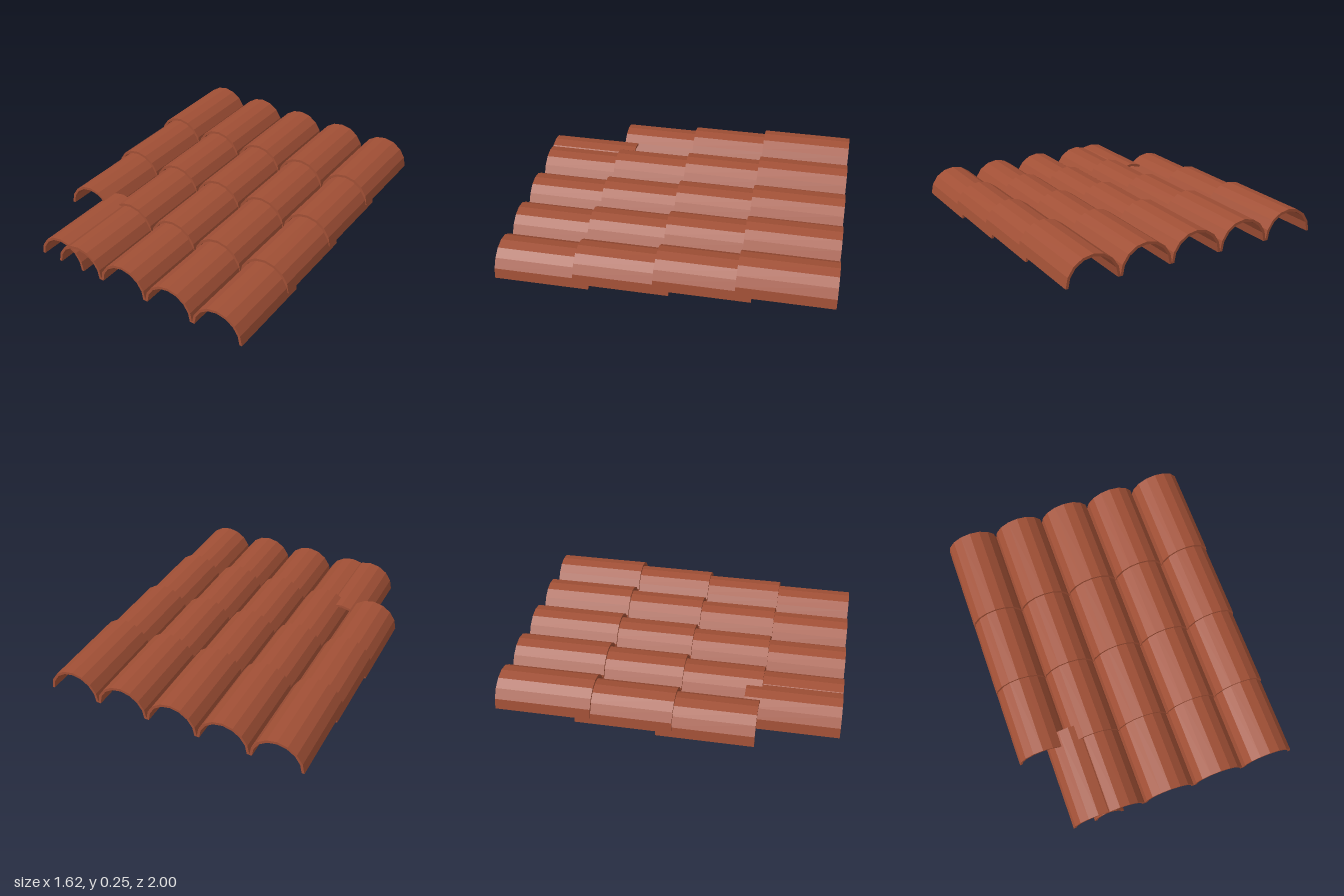
import * as THREE from 'three';

const R = 0.163, INNER = 0.147, SIDES = 8;
const LENGTH = 0.57, COL_STEP = 0.324, ROW_STEP = 0.4767, RISE = 0.03;

// Half-round barrel tile: a faceted arch extruded backwards from z = 0
function tileGeometry() {
  const points = [];
  for (let i = 0; i <= SIDES; i++) {
    const a = (i / SIDES) * Math.PI;
    points.push(new THREE.Vector2(Math.cos(a) * R, Math.sin(a) * R));
  }
  for (let i = SIDES; i >= 0; i--) {
    const a = (i / SIDES) * Math.PI;
    points.push(new THREE.Vector2(Math.cos(a) * INNER, Math.sin(a) * INNER));
  }
  const geometry = new THREE.ExtrudeGeometry(new THREE.Shape(points), { depth: LENGTH, bevelEnabled: false });
  return geometry.translate(0, 0, -LENGTH);
}

export function createModel() {
  const model = new THREE.Group();
  model.name = 'roofTiles';
  const terracotta = new THREE.MeshStandardMaterial({ color: 0xa04f35, flatShading: true });
  terracotta.name = 'terracotta';
  const geometry = tileGeometry();

  // Overlapping courses, each one stepping up and back
  for (let row = 0; row < 4; row++) {
    const course = new THREE.Group();
    course.name = `course${row + 1}`;
    course.position.set(0, row * RISE, 1 - row * ROW_STEP);
    for (let col = -2; col <= 2; col++) {
      // The front corner tile has slipped sideways over its neighbour
      const slipped = row === 0 && col === -2;
      const tile = new THREE.Mesh(geometry, terracotta);
      tile.name = slipped ? 'slippedTile' : `tile${col + 3}`;
      tile.position.set(slipped ? -0.46 : col * COL_STEP, slipped ? 0.002 : 0, 0);
      course.add(tile);
    }
    model.add(course);
  }
  return model;
}
